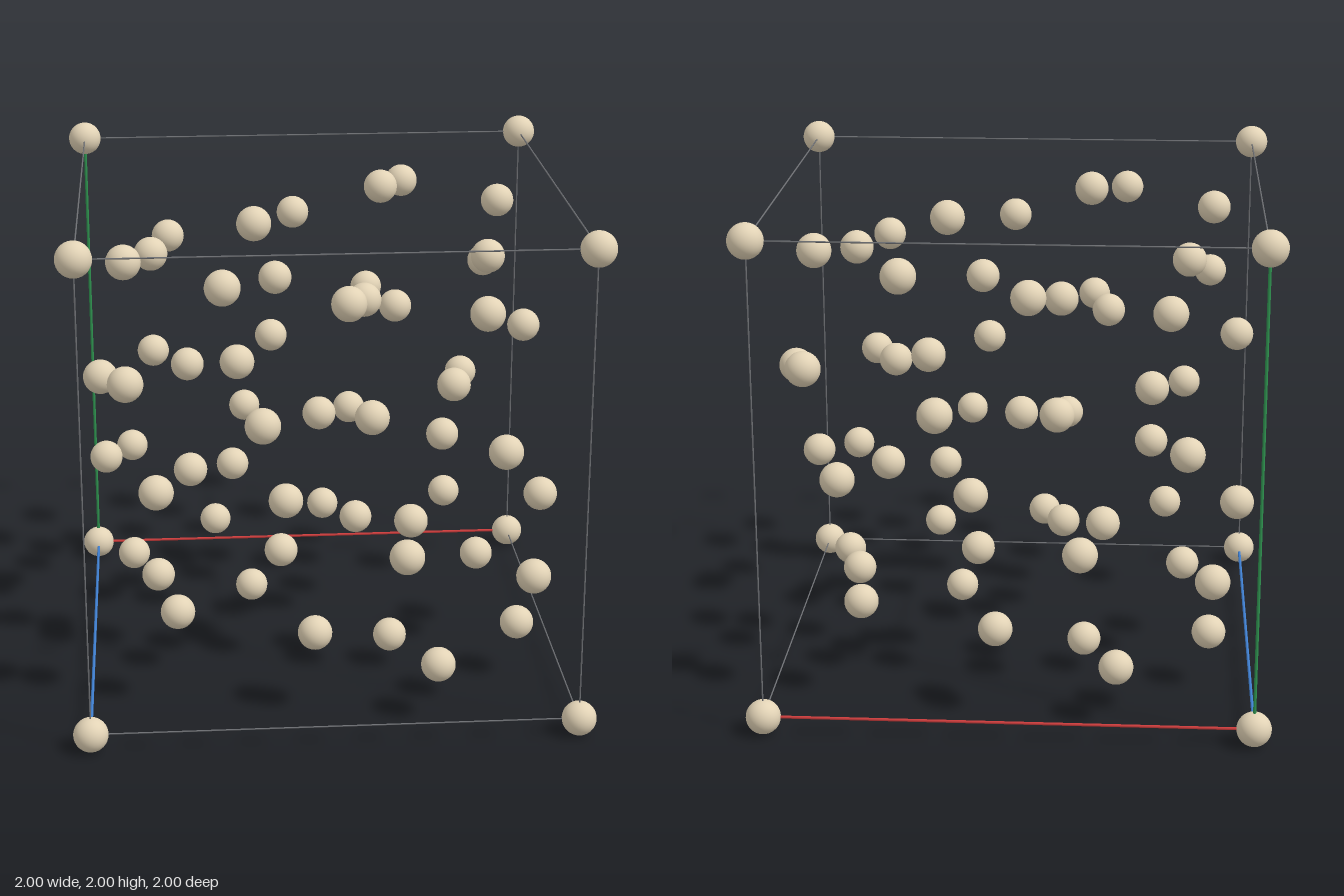
import * as THREE from 'three';

const CELL = 1.866, HALF = CELL / 2, RADIUS = 0.067;

const mat = (name, color) => {
  const m = new THREE.MeshStandardMaterial({ color });
  m.name = name;
  return m;
};

// Sites around the cell centre as fractions of the cell edge; the same set
// repeats around the corners, wrapped back into the cell.
function atomPositions() {
  const sites = [[0.317, 0.317, 0.317]];
  for (const [a, c] of [[0.356, 0.034], [0.089, 0.282]])
    sites.push([a, a, c], [a, c, a], [c, a, a]);
  const signs = [[1, 1, 1], [-1, -1, 1], [-1, 1, -1], [1, -1, -1]];
  const out = [];
  for (const site of sites)
    for (const s of signs) {
      const p = site.map((v, i) => v * s[i]);
      out.push(p, p.map(v => (v > 0 ? v - 0.5 : v + 0.5)));
    }
  return out;
}

export function createModel() {
  const model = new THREE.Group();
  model.name = 'crystalCell';
  const beige = mat('atomBeige', 0xe2d3b6);
  const grey = mat('edgeGrey', 0x6e7074);
  const axisMats = [mat('axisRed', 0xcc3c3c), mat('axisGreen', 0x2f9450), mat('axisBlue', 0x3f7fd0)];

  // Atoms
  const ball = new THREE.SphereGeometry(RADIUS, 28, 18);
  const atoms = new THREE.Group();
  atoms.name = 'atoms';
  const addAtom = (name, [x, y, z]) => {
    const m = new THREE.Mesh(ball, beige);
    m.name = name;
    m.position.set(x, y, z).multiplyScalar(CELL);
    atoms.add(m);
  };
  addAtom('centreAtom', [0, 0, 0]);
  for (const x of [-0.5, 0.5])
    for (const y of [-0.5, 0.5])
      for (const z of [-0.5, 0.5]) addAtom('cornerAtom', [x, y, z]);
  atomPositions().forEach(p => addAtom('innerAtom', p));
  model.add(atoms);

  // Cell edges: the three meeting at the origin corner are thicker, coloured axes
  const frame = new THREE.Group();
  frame.name = 'cellFrame';
  const thin = new THREE.CylinderGeometry(0.003, 0.003, CELL, 8);
  const thick = new THREE.CylinderGeometry(0.006, 0.006, CELL, 8);
  const names = ['xAxis', 'yAxis', 'zAxis'];
  for (let axis = 0; axis < 3; axis++)
    for (const u of [-1, 1])
      for (const v of [-1, 1]) {
        const isAxis = u < 0 && v < 0;
        const rod = new THREE.Mesh(isAxis ? thick : thin, isAxis ? axisMats[axis] : grey);
        rod.name = isAxis ? names[axis] : 'cellEdge';
        rod.position.setComponent((axis + 1) % 3, u * HALF);
        rod.position.setComponent((axis + 2) % 3, v * HALF);
        if (axis === 0) rod.rotation.z = -Math.PI / 2;
        if (axis === 2) rod.rotation.x = Math.PI / 2;
        frame.add(rod);
      }
  model.add(frame);

  // Stand the cell on y = 0
  atoms.position.y = frame.position.y = HALF + RADIUS;
  return model;
}
